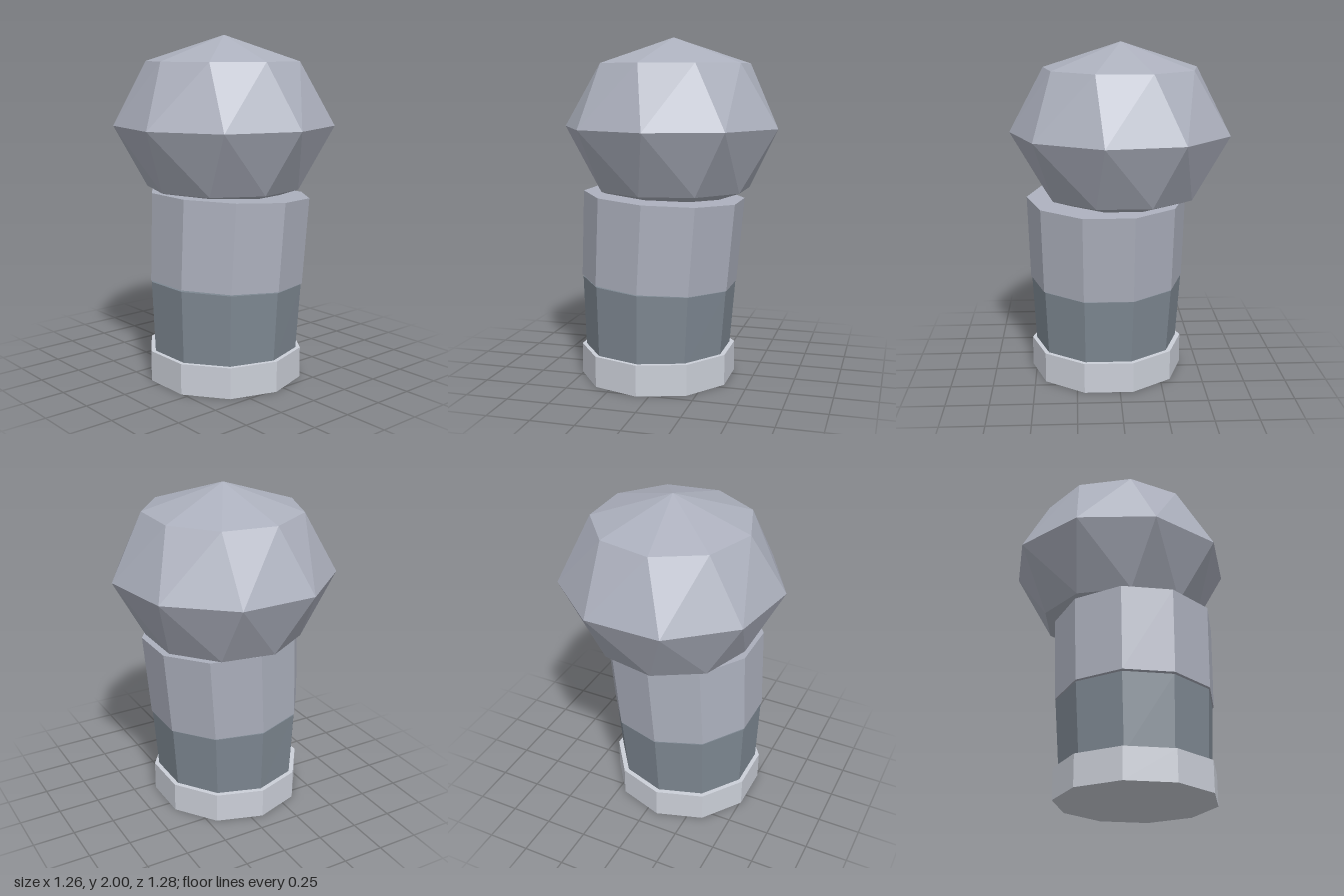
import * as THREE from 'three';

const material = (name, color) =>
  Object.assign(new THREE.MeshStandardMaterial({ color, flatShading: true }), { name });

// One cross-section: centre, radius, start angle in degrees, y slope along z.
const ring = (x, y, z, r, phase = 0, slope = 0) => ({ x, y, z, r, phase, slope });

// Faceted skin through rings listed bottom to top; zero-radius end rings close it.
function loft(name, sides, rings, mat) {
  const point = (s, j) => {
    const a = (s.phase * Math.PI) / 180 + (j * 2 * Math.PI) / sides;
    const dz = s.r * Math.sin(a);
    return [s.x + s.r * Math.cos(a), s.y + s.slope * dz, s.z + dz];
  };
  const positions = [];
  for (let i = 0; i < rings.length - 1; i++) {
    const low = rings[i], high = rings[i + 1];
    for (let j = 0; j < sides; j++) {
      const a = point(low, j), b = point(low, j + 1);
      const c = point(high, j + 1), d = point(high, j);
      if (low.r > 0) positions.push(...b, ...a, ...d);
      if (high.r > 0) positions.push(...b, ...d, ...c);
    }
  }
  const geometry = new THREE.BufferGeometry();
  geometry.setAttribute('position', new THREE.Float32BufferAttribute(positions, 3));
  geometry.computeVertexNormals();
  const mesh = new THREE.Mesh(geometry, mat);
  mesh.name = name;
  return mesh;
}

// Ten-sided drum with both ends capped.
function drum(name, bottom, top, mat) {
  return loft(name, 10, [{ ...bottom, r: 0 }, bottom, top, { ...top, r: 0 }], mat);
}

export function createModel() {
  const group = new THREE.Group();
  group.name = 'knobbedPost';

  const stone = material('grey stone', 0xacb0bd);
  const slate = material('dark slate', 0x7e8892);
  const pale = material('pale stone', 0xcbcfd8);

  // Base collar
  group.add(drum('baseCollar', ring(0.065, 0, 0.07, 0.46), ring(0.065, 0.18, 0.07, 0.46), pale));

  // Dark lower band, flaring into a tilted top
  group.add(drum('lowerBand',
    ring(0.067, 0.15, 0.072, 0.431),
    ring(0.063, 0.576, 0.063, 0.456, 0, 0.045), slate));

  // Upper shaft, leaning backwards
  group.add(drum('upperShaft',
    ring(0.065, 0.583, 0.063, 0.461, 0, 0.052),
    ring(0.065, 1.087, 0.031, 0.475, 0, 0.056), stone));

  // Nine-sided faceted knob with twisted rings
  const x = -0.02;
  group.add(loft('knob', 9, [
    ring(x, 0.96, 0, 0),
    ring(x, 1.115, 0, 0.458, -30),
    ring(x, 1.482, 0, 0.65, 0),
    ring(x, 1.85, 0, 0.458, 10),
    ring(x, 2, 0, 0),
  ], stone));

  return group;
}
